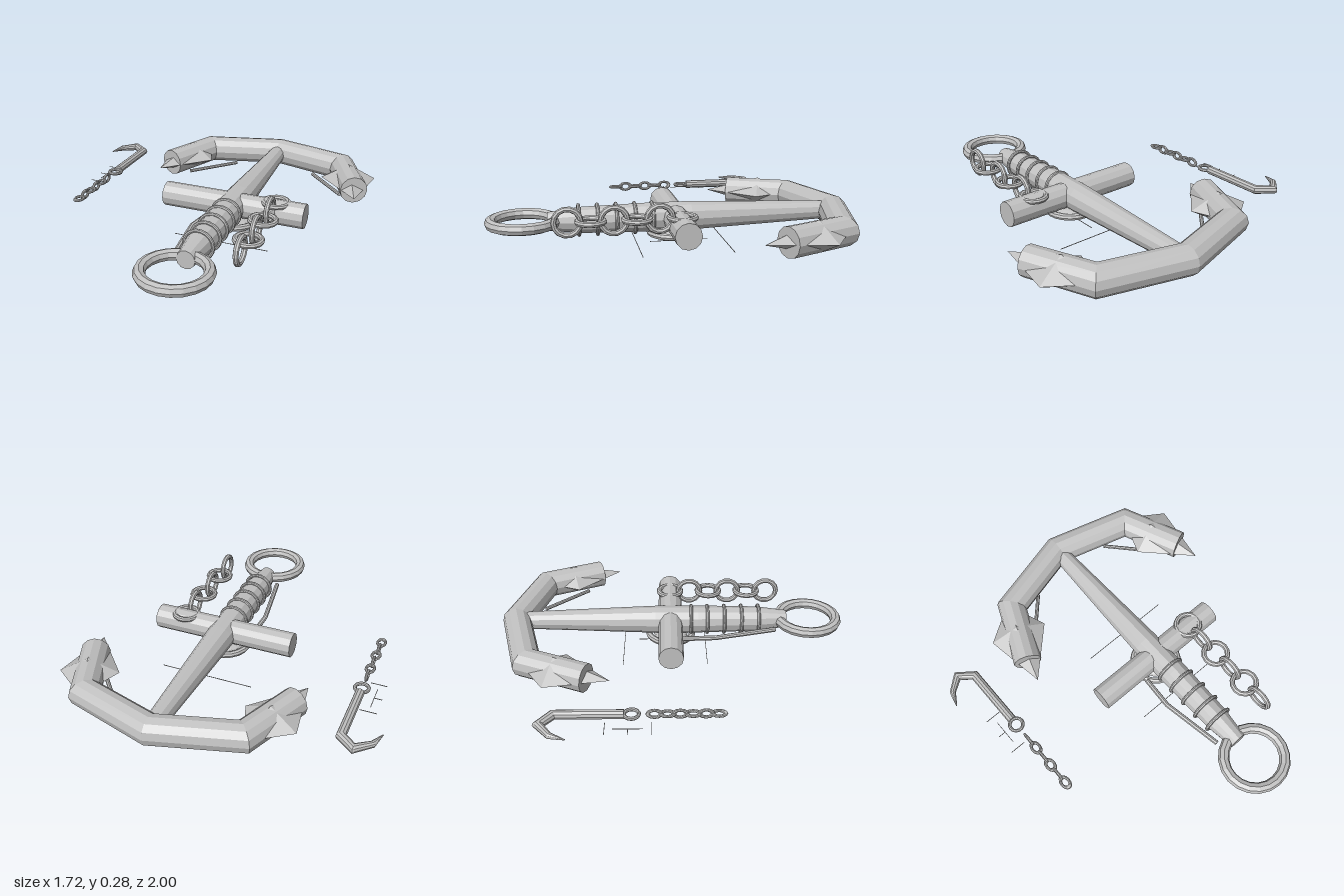
import * as THREE from 'three';

const CX = 0.19; // centre line of the anchor
const CY = 0.145; // height of its axis

const iron = new THREE.MeshStandardMaterial({ color: 0xc0c0c0 });
iron.name = 'iron grey';

// faceted mesh
function part(name, geometry, parent) {
  const g = geometry.index ? geometry.toNonIndexed() : geometry;
  g.computeVertexNormals();
  const mesh = new THREE.Mesh(g, iron);
  mesh.name = name;
  parent.add(mesh);
  return mesh;
}

// capped, mitred bar along [x, y, z, radius] stations lying roughly flat
function bar(stations, sides) {
  const pts = stations.map((s) => new THREE.Vector3(s[0], s[1], s[2]));
  const up = new THREE.Vector3(0, 1, 0);
  const pos = [];
  const idx = [];
  const last = pts.length - 1;
  pts.forEach((p, i) => {
    const a = pts[Math.min(i + 1, last)].clone().sub(pts[Math.min(i, last - 1)]).normalize();
    const b = pts[Math.max(i, 1)].clone().sub(pts[Math.max(i - 1, 0)]).normalize();
    const t = a.clone().add(b).normalize();
    const mitre = 1 / Math.max(0.5, t.dot(a));
    const side = up.clone().cross(t).normalize();
    for (let j = 0; j < sides; j++) {
      const ang = (j / sides) * Math.PI * 2;
      const r = stations[i][3];
      const v = p.clone().addScaledVector(side, Math.cos(ang) * r * mitre).addScaledVector(up, Math.sin(ang) * r);
      pos.push(v.x, v.y, v.z);
    }
  });
  const c0 = pos.length / 3;
  pos.push(...pts[0].toArray(), ...pts[last].toArray());
  for (let j = 0; j < sides; j++) {
    const k = (j + 1) % sides;
    for (let i = 0; i < last; i++) {
      const a = i * sides + j, b = i * sides + k;
      idx.push(a, b, a + sides, b, b + sides, a + sides);
    }
    idx.push(c0, k, j, c0 + 1, last * sides + j, last * sides + k);
  }
  const g = new THREE.BufferGeometry();
  g.setAttribute('position', new THREE.Float32BufferAttribute(pos, 3));
  g.setIndex(idx);
  return g;
}

// ring facing along 'x', 'y' or 'z'
function ring(name, parent, x, y, z, radius, tube, axis, sides = 16, stretch = 1) {
  const g = new THREE.TorusGeometry(radius, tube, 8, sides);
  if (axis === 'y') g.rotateX(Math.PI / 2);
  if (axis === 'x') g.rotateY(Math.PI / 2);
  g.scale(1, 1, stretch);
  g.translate(x, y, z);
  return part(name, g, parent);
}

function wire(name, parent, x, y, z, w, d) {
  part(name, new THREE.BoxGeometry(w, 0.003, d), parent).position.set(x, y, z);
}

// flattened diamond with a long front point and a short rear one
function flukeGeometry(side) {
  const g = new THREE.OctahedronGeometry(1);
  const p = g.attributes.position;
  for (let i = 0; i < p.count; i++) {
    const z = p.getZ(i);
    p.setXYZ(i, p.getX(i) * 0.16, p.getY(i) * 0.086, z * (z < 0 ? 0.2 : 0.315));
  }
  g.rotateY(side * 0.31);
  g.translate(CX + side * 0.515, CY, -0.635);
  return g;
}

function createModel() {
  const model = new THREE.Group();
  model.name = 'anchorAndHook';
  const anchor = new THREE.Group();
  anchor.name = 'anchor';
  const hook = new THREE.Group();
  hook.name = 'smallHook';
  model.add(anchor, hook);

  // shank and stock
  part('shank', bar([
    [CX, CY, -0.88, 0.05], [CX, CY, -0.1, 0.08], [CX, CY, 0.15, 0.08],
    [CX, CY, 0.5, 0.072], [CX, CY, 0.67, 0.05],
  ], 12), anchor);
  part('stock', bar([[-0.222, CY, -0.012, 0.07], [0.603, CY, -0.012, 0.07]], 12), anchor);

  // curved arms
  part('arms', bar([
    [CX - 0.585, CY, -0.46, 0.08], [CX - 0.44, CY, -0.795, 0.08], [CX, CY, -0.917, 0.08],
    [CX + 0.44, CY, -0.795, 0.08], [CX + 0.585, CY, -0.46, 0.08],
  ], 12), anchor);

  // pointed flukes and the braces under the arms
  for (const s of [-1, 1]) {
    part('fluke', flukeGeometry(s), anchor);
    part('armBrace', bar([[CX + s * 0.49, 0.068, -0.54, 0.011], [CX + s * 0.26, 0.068, -0.79, 0.011]], 8), anchor);
  }

  // end ring and shank bands
  ring('endRing', anchor, CX, 0.15, 0.797, 0.168, 0.031, 'y', 20);
  for (const z of [0.11, 0.205, 0.305, 0.405, 0.505]) {
    ring('shankBand', anchor, CX, CY, z, 0.08, 0.01, 'z', 18);
  }

  // boss under the crossing
  ring('bossRing', anchor, CX, 0.06, -0.01, 0.13, 0.019, 'y', 20);
  const boss = new THREE.SphereGeometry(1, 16, 8);
  boss.scale(0.1, 0.03, 0.1);
  part('boss', boss, anchor).position.set(CX, 0.048, -0.01);

  // rod beside the shank
  part('sideRod', bar([
    [0.06, 0.09, 0.06, 0.014], [0.045, 0.105, 0.25, 0.014], [0.1, 0.125, 0.6, 0.014],
  ], 8), anchor);

  // large chain hanging off the stock
  for (let i = 0; i < 6; i++) {
    ring('chainLink', anchor, 0.435, 0.2, -0.012 + i * 0.117, 0.068, 0.015, i % 2 ? 'x' : 'y', 14);
  }

  // fine wires below the anchor
  for (const z of [-0.285, 0.197]) wire('groundWire', anchor, CX, 0.008, z, 0.54, 0.003);
  wire('groundWire', anchor, CX, 0.006, -0.04, 0.003, 0.32);

  // small hook with its eye and chain
  part('hookBar', bar([
    [-0.674, 0.128, -0.25, 0.025], [-0.674, 0.128, -0.6, 0.025], [-0.752, 0.128, -0.662, 0.023],
    [-0.83, 0.128, -0.6, 0.017], [-0.861, 0.128, -0.52, 0.003],
  ], 10), hook);
  ring('hookEye', hook, -0.674, 0.128, -0.213, 0.037, 0.01, 'y', 14);
  for (let i = 0; i < 6; i++) {
    ring('hookChainLink', hook, -0.674, 0.128, -0.1 + i * 0.064, 0.022, 0.008, i % 2 ? 'y' : 'x', 12, 1.5);
  }

  // fine wires beside the hook
  for (const [x, z, w] of [[-0.745, -0.345, 0.09], [-0.767, -0.23, 0.045], [-0.745, -0.113, 0.09]]) {
    wire('hookWire', hook, x, 0.095, z, w, 0.003);
  }
  wire('hookWire', hook, -0.747, 0.095, -0.23, 0.003, 0.15);

  return model;
}

export { createModel };
